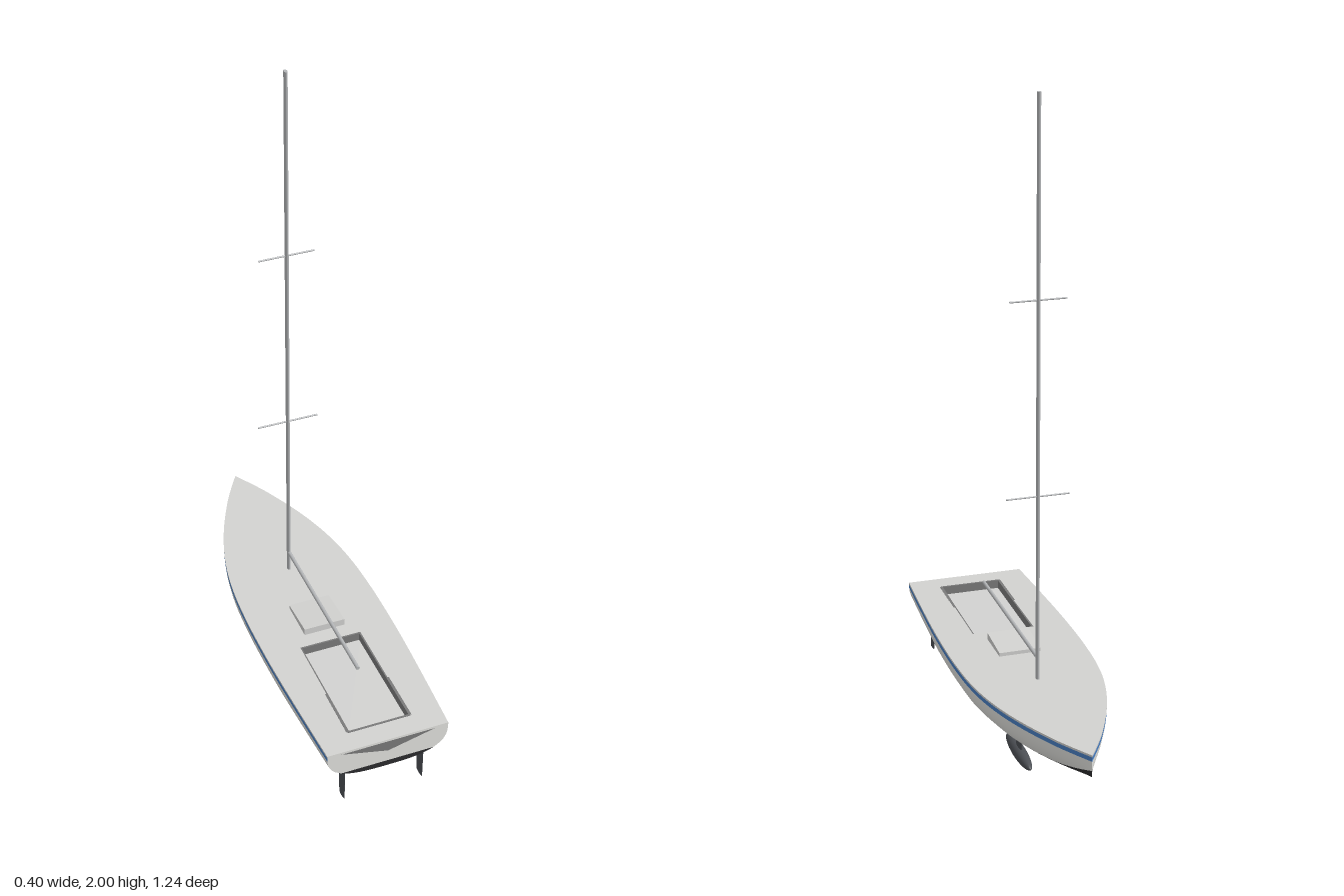
import * as THREE from 'three';

const mat = (name, color, side = THREE.FrontSide) => {
  const m = new THREE.MeshStandardMaterial({ color, side });
  m.name = name;
  return m;
};

// Hull lines; the bow points to -z
const BOW = -0.62, STERN = 0.615;
const beamCurve = new THREE.SplineCurve([
  [-0.62, 0], [-0.56, 0.037], [-0.5, 0.07], [-0.4, 0.116], [-0.3, 0.152], [-0.2, 0.177], [-0.1, 0.191],
  [0, 0.197], [0.1, 0.199], [0.25, 0.197], [0.42, 0.19], [0.615, 0.18],
].map(([z, w]) => new THREE.Vector2(z, w)));
const stations = beamCurve.getPoints(66).map((p) => ({ z: p.x, w: Math.max(p.y, 0) }));
const sheer = (z) => 0.349 - 0.011 * (z - BOW) / (STERN - BOW);
const keelLine = (z) => {
  if (z < -0.3) return 0.226 + 0.059 * Math.pow((-0.3 - z) / 0.32, 1.8);
  return z > 0.2 ? 0.226 + 0.014 * Math.pow((z - 0.2) / 0.415, 2) : 0.226;
};
const waterline = (z) => Math.max(0.258, keelLine(z) + 0.018);

// Half section from keel to rail: bottom paint, topsides, stripe, rail
const BOTTOM = 9, SIDE = 5;
function halfSection({ z, w }) {
  const s = sheer(z), k = keelLine(z), wl = waterline(z), ys = [];
  const n = z < -0.1 ? 3 - 0.9 * (-0.1 - z) / 0.52 : 3;
  for (let i = 0; i <= BOTTOM; i++) ys.push(k + (wl - k) * Math.pow(i / BOTTOM, 2.6));
  for (let i = 1; i <= SIDE; i++) ys.push(wl + (s - 0.019 - wl) * i / SIDE);
  ys.push(s - 0.006, s);
  return ys.map((y) => {
    const t = Math.min(1, (s - y) / (s - k));
    return [w * Math.pow(Math.max(0, 1 - Math.pow(t, n)), 1 / n), y, z];
  });
}

function hullGeometry() {
  const pos = [], idx = [], geo = new THREE.BufferGeometry();
  const half = stations.map(halfSection), m = half[0].length, row = 2 * m - 1;
  // each row runs from right rail under the keel to left rail
  for (const h of half) {
    for (let j = m - 1; j > 0; j--) pos.push(-h[j][0], h[j][1], h[j][2]);
    for (const p of h) pos.push(...p);
  }
  const bands = [[0, BOTTOM], [BOTTOM, BOTTOM + SIDE], [BOTTOM + SIDE, m - 2], [m - 2, m - 1]];
  bands.forEach(([a, b], band) => {
    const start = idx.length;
    for (let i = 0; i < half.length - 1; i++) {
      for (let j = a; j < b; j++) {
        for (const c of [m - 1 + j, m - 2 - j]) {
          const p = i * row + c, q = p + row;
          idx.push(p, p + 1, q, p + 1, q + 1, q);
        }
      }
    }
    geo.addGroup(start, idx.length - start, band);
  });
  geo.setAttribute('position', new THREE.Float32BufferAttribute(pos, 3));
  geo.setIndex(idx);
  geo.computeVertexNormals();
  return geo;
}

// Blade with a lens-shaped section, from top chord to bottom chord
function bladeGeometry(top, bottom, thick) {
  const g = new THREE.CylinderGeometry(1, 1, 1, 16, 1);
  const p = g.attributes.position;
  for (let i = 0; i < p.count; i++) {
    const c = p.getY(i) > 0 ? top : bottom;
    p.setXYZ(i, p.getX(i) * thick / 2, c.y, (c.a + c.b) / 2 + p.getZ(i) * (c.b - c.a) / 2);
  }
  g.computeVertexNormals();
  return g;
}

export function createModel() {
  const group = new THREE.Group();
  const white = mat('hull white', 0xe2e2de, THREE.DoubleSide);
  const black = mat('bottom paint', 0x2c2c2e, THREE.DoubleSide);
  const blue = mat('stripe blue', 0x4a80c4, THREE.DoubleSide);
  const deckGrey = mat('deck grey', 0xd2d2d0, THREE.DoubleSide);
  const wallGrey = mat('recess grey', 0x7a7a7a, THREE.DoubleSide);
  const foil = mat('foil grey', 0x4c4f54);
  const metal = mat('spar metal', 0xb4b6b8);
  const add = (name, geo, material, x = 0, y = 0, z = 0) => {
    const mesh = new THREE.Mesh(geo, material);
    mesh.name = name;
    mesh.position.set(x, y, z);
    group.add(mesh);
    return mesh;
  };

  add('hull', hullGeometry(), [black, white, blue, deckGrey]);

  // Transom, closing the stern, with its bottom painted
  const end = halfSection(stations[stations.length - 1]);
  const plate = (pts) => new THREE.ShapeGeometry(new THREE.Shape(
    [...pts, ...pts.slice().reverse().map(([x, y]) => [-x, y])].map(([x, y]) => new THREE.Vector2(x, y))));
  add('transom', plate(end.slice(BOTTOM)), white, 0, 0, STERN);
  add('transomBottom', plate(end.slice(1, BOTTOM + 1)), black, 0, 0, STERN);
  const notch = new THREE.Shape([[-0.14, 0.333], [0, 0.298], [0.14, 0.333]].map(([x, y]) => new THREE.Vector2(x, y)));
  add('transomNotch', new THREE.ShapeGeometry(notch), wallGrey, 0, 0, STERN + 0.002);

  // Deck with the cockpit cut out
  const rim = [...stations.map(({ z, w }) => [w, z]), ...stations.slice(1).reverse().map(({ z, w }) => [-w, z])];
  const outline = new THREE.Shape(rim.map(([x, z]) => new THREE.Vector2(x, -z)));
  const cx = 0.093, z0 = 0.19, z1 = 0.55, floorY = 0.312;
  outline.holes.push(new THREE.Path([[-cx, -z0], [cx, -z0], [cx, -z1], [-cx, -z1]].map((p) => new THREE.Vector2(...p))));
  const deck = new THREE.ShapeGeometry(outline).rotateX(-Math.PI / 2);
  const dp = deck.attributes.position;
  for (let i = 0; i < dp.count; i++) dp.setY(i, sheer(dp.getZ(i)));
  deck.computeVertexNormals();
  add('deck', deck, deckGrey);

  // Cockpit well
  const zm = (z0 + z1) / 2, len = z1 - z0, wallH = 0.03, wallY = floorY + wallH / 2 - 0.002;
  add('cockpitFloor', new THREE.BoxGeometry(2 * cx, 0.004, len), deckGrey, 0, floorY, zm);
  for (const s of [-1, 1]) {
    add('cockpitSide', new THREE.BoxGeometry(0.008, wallH, len), wallGrey, s * cx, wallY, zm);
    add('cockpitEnd', new THREE.BoxGeometry(2 * cx, wallH, 0.006), wallGrey, 0, wallY, zm + s * len / 2);
  }

  // Companionway hatch, rising towards the cockpit
  const hatch = new THREE.BoxGeometry(0.124, 0.026, 0.124);
  const hp = hatch.attributes.position;
  for (let i = 0; i < hp.count; i++) {
    if (hp.getY(i) > 0 && hp.getZ(i) < 0) hp.setY(i, 0.004);
  }
  hatch.computeVertexNormals();
  add('hatch', hatch, deckGrey, 0, 0.35, 0.083);

  // Mast, boom and spreaders
  const mastZ = -0.146;
  add('mast', new THREE.CylinderGeometry(0.0085, 0.0085, 1.66, 20).scale(0.6, 1, 1), metal, 0, 1.17, mastZ);
  add('boom', new THREE.CylinderGeometry(0.0055, 0.0055, 0.535, 16).rotateX(Math.PI / 2), metal, 0, 0.41, 0.1275);
  for (const [y, r] of [[0.895, 0.09], [1.45, 0.08]]) {
    add('spreader', new THREE.CylinderGeometry(0.0025, 0.0025, 2 * r, 8).rotateZ(Math.PI / 2), metal, 0, y, mastZ);
  }

  // Keel fin, ballast bulb and twin rudders
  add('keelFin', bladeGeometry({ y: 0.235, a: -0.006, b: 0.062 }, { y: 0.035, a: 0.003, b: 0.056 }, 0.011), foil);
  add('keelBulb', new THREE.SphereGeometry(1, 32, 20).scale(0.02, 0.02, 0.115), foil, 0, 0.02, 0.033);
  for (const s of [-1, 1]) {
    add('rudder', bladeGeometry({ y: 0.25, a: 0.545, b: 0.594 }, { y: 0.128, a: 0.556, b: 0.592 }, 0.006), foil, s * 0.118);
  }
  return group;
}
